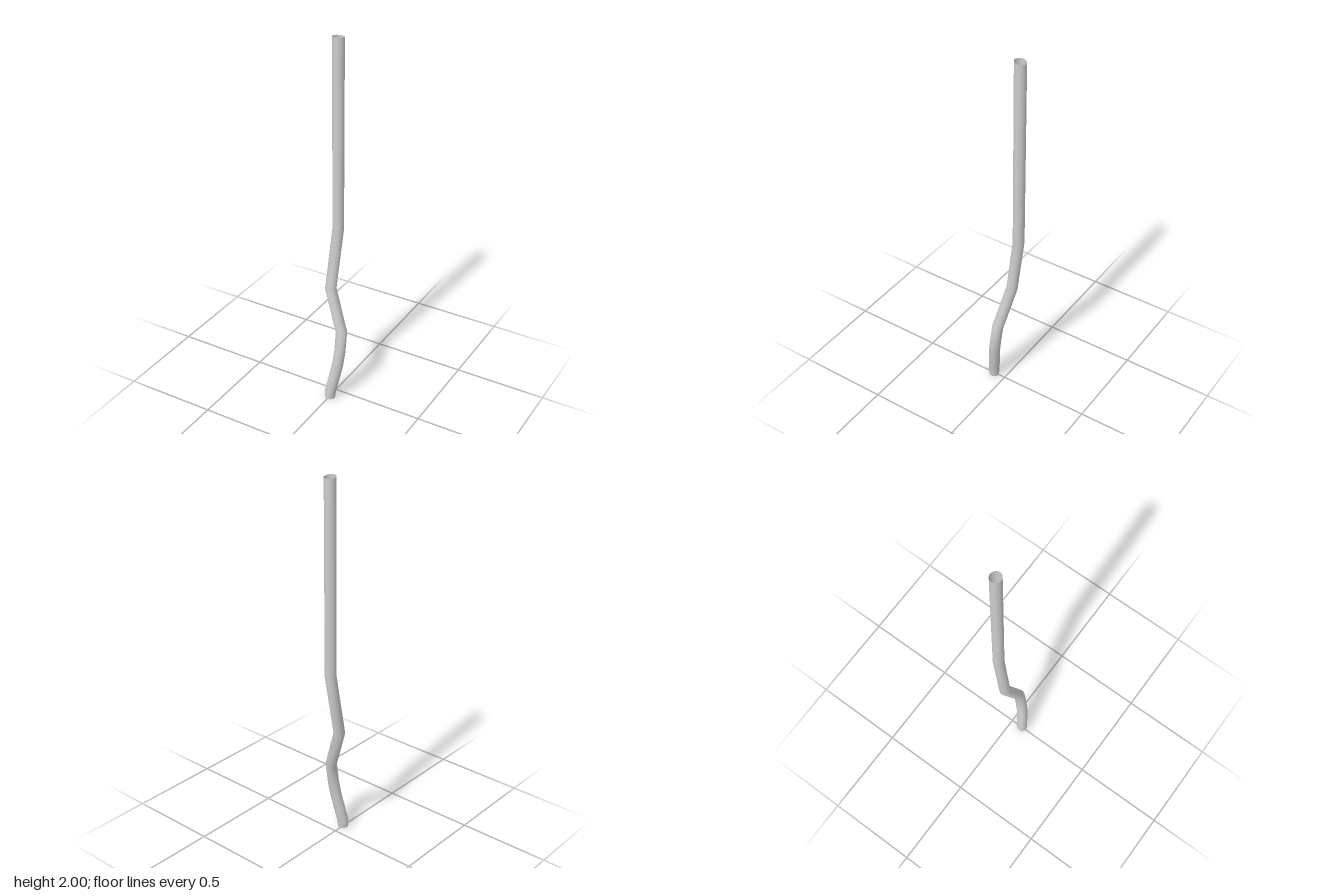
import * as THREE from 'three';

const RADIUS = 0.03;
const SIDES = 32;

// Centre line of the bent pipe, bottom to top: x, y, z
const PATH = [
  [0.003, 0, 0.068], [0.003, 0.035, 0.067], [0.021, 0.13, 0.054], [0.035, 0.21, 0.043],
  [0.041, 0.29, 0.031], [0.042, 0.4, 0.016], [-0.043, 0.63, -0.018],
  [-0.027, 0.965, -0.067], [-0.027, 1.87, -0.068], [-0.027, 1.995, -0.068],
].map((p) => new THREE.Vector3(...p));

// Skins one ring per path point, each tilted to halve the bend
function bentPipe(path) {
  const last = path.length - 1;
  const up = new THREE.Vector3(0, 1, 0);
  const positions = [], index = [];
  path.forEach((p, i) => {
    const before = p.clone().sub(path[Math.max(i - 1, 0)]).normalize();
    const after = path[Math.min(i + 1, last)].clone().sub(p).normalize();
    const normal = before.add(after).normalize();
    if (i === 0) normal.copy(up);
    if (i === last) normal.set(0, 1, -0.13).normalize(); // slanted cut at the top
    const tilt = new THREE.Quaternion().setFromUnitVectors(up, normal);
    const r = i === 0 ? RADIUS * 0.9 : RADIUS; // slightly pinched foot
    for (let j = 0; j < SIDES; j++) {
      const a = (j / SIDES) * Math.PI * 2;
      const v = new THREE.Vector3(r * Math.cos(a), 0, r * Math.sin(a)).applyQuaternion(tilt).add(p);
      positions.push(v.x, v.y, v.z);
      if (i < last) {
        const A = i * SIDES + j, B = i * SIDES + (j + 1) % SIDES;
        index.push(A, A + SIDES, B, B, A + SIDES, B + SIDES);
      }
    }
  });
  const geometry = new THREE.BufferGeometry();
  geometry.setAttribute('position', new THREE.Float32BufferAttribute(positions, 3));
  geometry.setIndex(index);
  geometry.computeVertexNormals();
  return geometry;
}

export function createModel() {
  const group = new THREE.Group();
  group.name = 'bentPipe';
  // Open-ended pipe wall
  const material = new THREE.MeshStandardMaterial({ color: 0xcccccc, side: THREE.DoubleSide });
  const pipe = new THREE.Mesh(bentPipe(PATH), material);
  pipe.name = 'pipeWall';
  group.add(pipe);
  return group;
}
